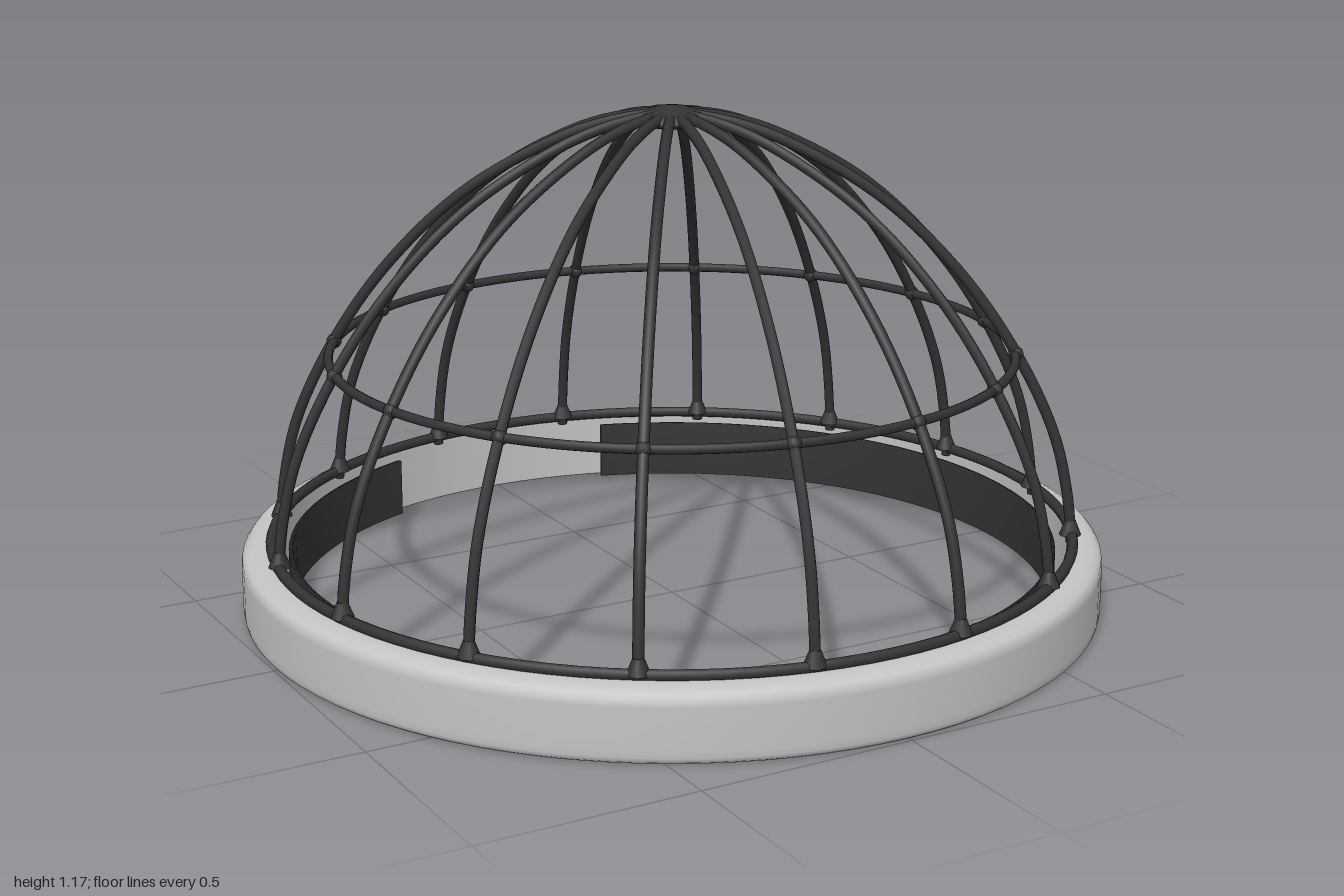
import * as THREE from 'three';

const RIBS = 16;

export function createModel() {
  const model = new THREE.Group();
  const iron = new THREE.MeshStandardMaterial({ color: 0x333333, side: THREE.DoubleSide });
  iron.name = 'dark iron';
  const stone = new THREE.MeshStandardMaterial({ color: 0xc4c4c4 });
  stone.name = 'light grey';

  const add = (name, geometry, material, parent = model) => {
    const mesh = new THREE.Mesh(geometry, material);
    mesh.name = name;
    parent.add(mesh);
    return mesh;
  };
  const lathe = (points, segments, start = 0, length = Math.PI * 2) =>
    new THREE.LatheGeometry(points.map(p => new THREE.Vector2(...p)), segments, start, length);
  const hoop = (name, radius, tube, y) => {
    const mesh = add(name, new THREE.TorusGeometry(radius, tube, 8, 96), iron);
    mesh.rotation.x = Math.PI / 2;
    mesh.position.y = y;
  };

  // Base ring with softened edges
  add('baseRing', lathe([
    [0.932, 0.002], [0.936, 0], [0.985, 0], [0.99, 0.001], [0.997, 0.006], [0.999, 0.015], [1, 0.03],
    [1, 0.125], [0.998, 0.14], [0.99, 0.15], [0.975, 0.157], [0.955, 0.16],
    [0.936, 0.16], [0.932, 0.158], [0.932, 0.15], [0.932, 0.01], [0.932, 0.002],
  ], 96), stone);

  // Inner lining, open at the back
  add('innerLining', lathe([
    [0.882, 0.01], [0.892, 0.01], [0.892, 0.15], [0.882, 0.15], [0.882, 0.01],
  ], 90, Math.PI + 0.38, Math.PI * 2 - 0.68), iron);

  // Horizontal hoops
  hoop('lowerHoop', 0.931, 0.013, 0.168);
  hoop('middleHoop', 0.787, 0.011, 0.6);

  // Curved ribs with a flared foot and a joint at the middle hoop
  const curve = new THREE.CatmullRomCurve3([
    [0.93, 0.15], [0.918, 0.26], [0.882, 0.41], [0.79, 0.6], [0.655, 0.79],
    [0.47, 0.965], [0.25, 1.09], [0.13, 1.13], [0.03, 1.147],
  ].map(([r, y]) => new THREE.Vector3(0, y, r)));
  const ribShape = new THREE.TubeGeometry(curve, 40, 0.0125, 8);
  const footShape = new THREE.CylinderGeometry(0.012, 0.026, 0.035, 10);
  const jointShape = new THREE.SphereGeometry(0.018, 10, 8);
  for (let i = 0; i < RIBS; i++) {
    const rib = new THREE.Group();
    rib.name = 'rib' + (i + 1);
    rib.rotation.y = ((i + 0.5) / RIBS) * Math.PI * 2;
    add('ribBar', ribShape, iron, rib);
    add('ribFoot', footShape, iron, rib).position.set(0, 0.186, 0.927);
    add('ribJoint', jointShape, iron, rib).position.set(0, 0.6, 0.788);
    model.add(rib);
  }

  // Crown hub where the ribs meet
  add('crownHub', lathe([
    [0, 1.118], [0.06, 1.12], [0.082, 1.128], [0.084, 1.138],
    [0.07, 1.149], [0.035, 1.161], [0, 1.166],
  ], 32), iron);

  return model;
}
